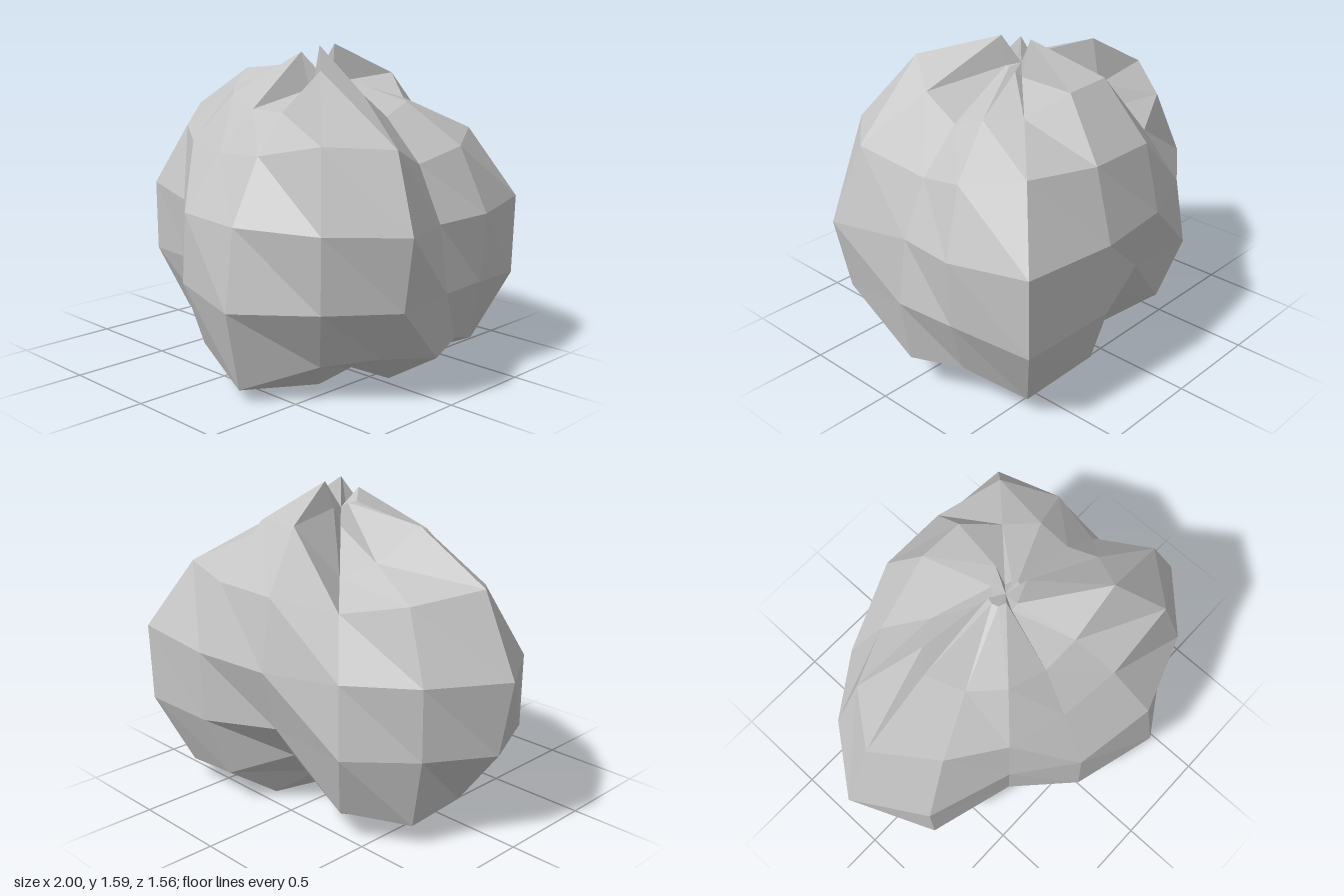
import * as THREE from 'three';

const SIDES = 14;
const CENTRE_X = 0.1, CENTRE_Z = -0.05, DEPTH = 0.79;

// Each ring runs from +x round by the front: radii plus a rule giving height from radius.
const RINGS = [
  { y: r => 0.95 + 6 * r, // gathered neck
    radii: [.083, .083, .106, .075, .07, .1, .09, .09, .09, .07, .085, .106, .075, .08] },
  { y: r => 1.29 + 1.9 * (r - 0.45), // shoulder folds
    radii: [.44, .5, .56, .45, .45, .48, .49, .53, .44, .4, .53, .525, .47, .47] },
  { y: r => 0.72 + 0.55 * r,
    radii: [.64, .84, .87, .72, .67, .71, .78, .92, .8, .68, .8, .8, .84, .75] },
  { y: r => 0.75 + 0.08 * r, // widest part
    radii: [.77, 1, 1, .99, .9, .77, .99, 1.1, .95, .88, .89, .95, 1.12, .89] },
  { y: r => 0.65 - 0.185 * r,
    radii: [.82, .93, .96, 1.07, .92, .755, .985, 1.03, .95, .94, .77, .94, 1.11, .87] },
  { y: r => 0.71 - 0.69 * r,
    radii: [.77, .73, .77, .94, .79, .67, .79, .8, .86, .8, .58, .79, .89, .75] },
  { y: r => Math.max(0, 0.36 - 0.75 * r), // resting edge, lifted where it is tucked in
    radii: [.48, .4, .48, .58, .48, .42, .48, .5, .53, .48, .3, .48, .52, .48] },
];

function buildSackGeometry() {
  const rings = RINGS.map(({ radii, y }) => radii.map((r, j) => {
    const angle = (j / SIDES) * Math.PI * 2;
    return [CENTRE_X + r * Math.cos(angle), y(r), CENTRE_Z + DEPTH * r * Math.sin(angle)];
  }));
  const top = [CENTRE_X, 1.45, CENTRE_Z];
  const bottom = [CENTRE_X, 0, CENTRE_Z];
  const positions = [];
  const face = (...corners) => corners.forEach(c => positions.push(...c));

  for (let j = 0; j < SIDES; j++) {
    const k = (j + 1) % SIDES;
    // Tip of the gather and underside
    face(top, rings[0][k], rings[0][j]);
    face(bottom, rings[rings.length - 1][j], rings[rings.length - 1][k]);
    // Side panels
    for (let i = 0; i < rings.length - 1; i++) {
      const upper = rings[i], lower = rings[i + 1];
      face(upper[k], lower[k], lower[j]);
      face(upper[k], lower[j], upper[j]);
    }
  }

  const geometry = new THREE.BufferGeometry();
  geometry.setAttribute('position', new THREE.Float32BufferAttribute(positions, 3));
  geometry.computeVertexNormals();
  return geometry;
}

export function createModel() {
  const group = new THREE.Group();
  group.name = 'gatheredSack';

  const cloth = new THREE.MeshStandardMaterial({ color: 0xc4c4c4, flatShading: true });
  cloth.name = 'grey cloth';

  const body = new THREE.Mesh(buildSackGeometry(), cloth);
  body.name = 'sackBody';
  group.add(body);
  return group;
}
